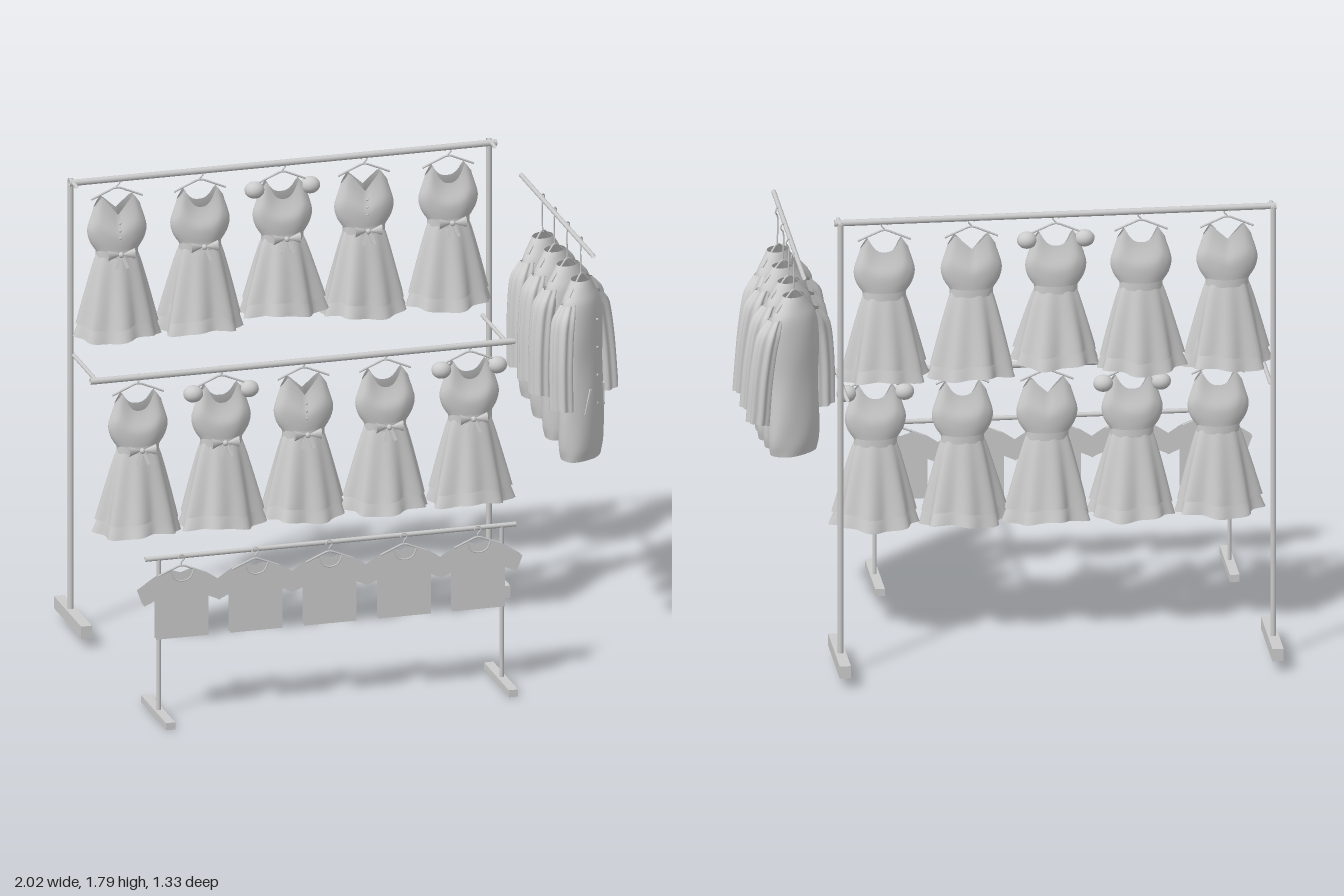
import * as THREE from 'three';

const grey = new THREE.MeshStandardMaterial({ color: 0xcccccc, side: THREE.DoubleSide });
grey.name = 'light grey';
const V = (x, y, z) => new THREE.Vector3(x, y, z);

function add(parent, name, geometry, x = 0, y = 0, z = 0) {
  const mesh = new THREE.Mesh(geometry, grey);
  mesh.name = name;
  mesh.position.set(x, y, z);
  parent.add(mesh);
  return mesh;
}

function group(parent, name, x, y, z) {
  const g = new THREE.Group();
  g.name = name;
  g.position.set(x, y, z);
  parent.add(g);
  return g;
}

// Round bar between two points
function bar(parent, name, a, b, r) {
  return add(parent, name, new THREE.TubeGeometry(new THREE.LineCurve3(a, b), 1, r, 10));
}

// Closed ring surface: f(angle, v) gives a point, v runs from top to bottom
function rings(f, nu, nv) {
  const pos = [], index = [];
  for (let j = 0; j <= nv; j++)
    for (let i = 0; i < nu; i++) pos.push(...f((i / nu) * Math.PI * 2, j / nv).toArray());
  for (let j = 0; j < nv; j++)
    for (let i = 0; i < nu; i++) {
      const a = j * nu + i, b = j * nu + (i + 1) % nu;
      index.push(a, a + nu, b, b, a + nu, b + nu);
    }
  const g = new THREE.BufferGeometry();
  g.setAttribute('position', new THREE.Float32BufferAttribute(pos, 3));
  g.setIndex(index);
  g.computeVertexNormals();
  return g;
}

// Hook over the rail and two sloping arms
function hanger(parent, drop, width, slope) {
  const g = group(parent, 'hanger', 0, 0, 0);
  const hook = new THREE.CatmullRomCurve3([
    V(-0.012, -0.003, 0), V(-0.006, 0.011, 0), V(0.006, 0.011, 0), V(0.011, -0.004, 0), V(0, -0.018, 0), V(0, -drop, 0)]);
  add(g, 'hook', new THREE.TubeGeometry(hook, 20, 0.003, 6));
  const arms = new THREE.CatmullRomCurve3([
    V(-width, -drop - slope, 0), V(-width * 0.4, -drop - slope * 0.35, 0), V(0, -drop, 0),
    V(width * 0.4, -drop - slope * 0.35, 0), V(width, -drop - slope, 0)]);
  add(g, 'arms', new THREE.TubeGeometry(arms, 16, 0.004, 6));
}

function dress(parent, x, y, z, seed, { puff = false, vNeck = false, buttons = false, hem = -0.6 }) {
  const g = group(parent, 'dress', x, y, z);
  hanger(g, 0.022, 0.1, 0.04);
  // Bodice with a dipped neckline and sloping shoulders
  const side = new THREE.SplineCurve([[0.09, 0.018], [0.104, 0.03], [0.115, 0.045], [0.104, 0.046], [0.076, 0.042]]
    .map(p => new THREE.Vector2(...p)));
  add(g, 'bodice', rings((t, v) => {
    const s = Math.abs(Math.sin(t)), dip = Math.cos(t) > 0 ? 0.075 : 0.055;
    const top = s < 0.68 ? -0.05 - dip * (1 - (s / 0.68) ** (vNeck ? 1 : 2.6)) : -0.05 - 0.04 * (s - 0.68) / 0.32;
    const p = side.getPoint(v);
    return V(p.x * Math.sin(t), top + (-0.275 - top) * v, p.y * Math.cos(t));
  }, 48, 12));
  // Gathered skirt over a longer flounce
  const skirt = (name, y0, y1, r0, r1, amp) => add(g, name, rings((t, v) => {
    const wave = 1 + amp * (0.3 + 0.7 * v) * (Math.cos(8 * t + seed) + 0.5 * Math.cos(5 * t + seed * 2.3));
    const r = (r0 + (r1 - r0) * v ** 0.85) * wave;
    return V(r * Math.sin(t), y0 + (y1 - y0) * v + 0.008 * v * Math.sin(3 * t + seed), r * (0.6 + 0.06 * v) * Math.cos(t));
  }, 72, 8));
  skirt('skirt', -0.27, hem + 0.05, 0.076, 0.148, 0.085);
  skirt('flounce', hem + 0.11, hem, 0.125, 0.158, 0.085);
  // Sash with a bow in front
  add(g, 'sash', rings((t, v) => V(0.081 * Math.sin(t), -0.258 - 0.03 * v, 0.05 * Math.cos(t)), 32, 1));
  const bow = group(g, 'bow', 0, -0.27, 0.06);
  add(bow, 'knot', new THREE.SphereGeometry(0.011, 10, 8));
  for (const s of [-1, 1]) {
    const loop = add(bow, 'bowLoop', new THREE.ConeGeometry(0.021, 0.05, 10), s * 0.027, 0.002, 0);
    loop.rotation.z = s * Math.PI / 2;
    loop.scale.z = 0.6;
    const tail = add(bow, 'bowTail', new THREE.BoxGeometry(0.014, 0.05, 0.004), s * 0.013, -0.028, 0.004);
    tail.rotation.set(-0.25, 0, s * 0.35);
    if (puff) {
      const sleeve = add(g, 'puffSleeve', new THREE.SphereGeometry(0.038, 16, 12), s * 0.108, -0.085, 0);
      sleeve.scale.set(1, 0.85, 0.9);
    }
  }
  if (buttons) for (let i = 0; i < 3; i++)
    add(g, 'button', new THREE.SphereGeometry(0.005, 8, 6), 0, -0.15 - i * 0.03, 0.045);
}

function coat(parent, z, angle, hem) {
  const g = group(parent, 'coat', 0.825, 1.6, z);
  g.rotation.y = angle;
  hanger(g, 0.13, 0.09, 0.07);
  // Body from collar to hem
  const body = new THREE.CatmullRomCurve3([
    V(0.045, -0.15, 0.035), V(0.07, -0.185, 0.046), V(0.103, -0.235, 0.06), V(0.115, -0.34, 0.068),
    V(0.11, -0.48, 0.068), V(0.116, -0.64, 0.072), V(0.114, hem + 0.05, 0.07), V(0.104, hem, 0.064)]);
  add(g, 'coatBody', rings((t, v) => {
    const p = body.getPoint(v), w = 1 + 0.018 * v * Math.sin(5 * t + 14 * v);
    return V(p.x * w * Math.sin(t), p.y, p.z * w * Math.cos(t));
  }, 40, 28));
  for (const s of [-1, 1]) {
    // Sleeve with lengthwise folds
    const path = new THREE.CatmullRomCurve3([
      V(0.095, -0.225, 0), V(0.13, -0.28, 0), V(0.158, -0.42, 0.006), V(0.172, -0.62, 0.015)]);
    add(g, 'sleeve', rings((t, v) => {
      const p = path.getPoint(v), r = (0.026 + 0.014 * Math.min(1, v * 3)) * (1 + 0.12 * Math.cos(7 * t));
      return V(s * (p.x + r * Math.sin(t)), p.y + 0.01 * Math.sin(t) * v, p.z + r * 1.05 * Math.cos(t));
    }, 42, 14));
    // Slanted pocket
    const pocket = add(g, 'pocket', new THREE.BoxGeometry(0.008, 0.1, 0.006), s * 0.06, -0.61, 0.064);
    pocket.rotation.set(0, s * 0.45, s * 0.25);
  }
  for (let i = 0; i < 4; i++)
    add(g, 'button', new THREE.SphereGeometry(0.005, 8, 6), 0, -0.3 - i * 0.11, 0.07);
}

function shirt(parent, x) {
  const g = group(parent, 'shirt', x, 0.625, 0.53);
  hanger(g, 0.03, 0.09, 0.035);
  const half = [[0.045, -0.045], [0.1, -0.068], [0.17, -0.115], [0.148, -0.175], [0.102, -0.155], [0.102, -0.31]];
  // Flat front and back panels, the front cut lower at the neck
  for (const [name, z, dip] of [['shirtFront', 0.013, -0.085], ['shirtBack', -0.008, -0.06]]) {
    const left = half.map(([px, py]) => [-px, py]).reverse();
    const outline = [[0, dip], [0.03, dip + 0.01], ...half, ...left, [-0.03, dip + 0.01]];
    add(g, name, new THREE.ShapeGeometry(new THREE.Shape(outline.map(p => new THREE.Vector2(...p)))), 0, 0, z);
  }
  // Neck band
  const band = new THREE.CatmullRomCurve3([
    V(-0.045, -0.045, 0.014), V(-0.03, -0.076, 0.015), V(0, -0.086, 0.015), V(0.03, -0.076, 0.015), V(0.045, -0.045, 0.014)]);
  add(g, 'neckBand', new THREE.TubeGeometry(band, 14, 0.003, 6));
}

export function createModel() {
  const model = new THREE.Group();
  model.name = 'clothesRacks';

  // Tall two-level rack
  const tall = group(model, 'tallRack', 0, 0, 0);
  for (const [x, armX] of [[-0.955, -0.945], [0.67, 0.645]]) {
    add(tall, 'foot', new THREE.BoxGeometry(0.042, 0.048, 0.365), x, 0.066, -0.482);
    bar(tall, 'post', V(x, 0.085, -0.512), V(x, 1.785, -0.512), 0.011);
    bar(tall, 'topArm', V(x, 1.78, -0.435), V(x, 1.78, -0.515), 0.008);
    bar(tall, 'lowerArm', V(armX, 1.09, -0.515), V(armX, 1.09, -0.2), 0.008);
  }
  bar(tall, 'topRail', V(-0.97, 1.78, -0.48), V(0.69, 1.78, -0.48), 0.012);
  bar(tall, 'lowerRail', V(-0.97, 1.09, -0.2), V(0.69, 1.09, -0.2), 0.012);

  // Two rows of dresses
  const upper = [{ vNeck: true, buttons: true }, {}, { puff: true, hem: -0.565 }, { vNeck: true, buttons: true }, {}];
  const lower = [{}, { puff: true }, { vNeck: true, buttons: true }, {}, { puff: true }];
  [-0.785, -0.462, -0.142, 0.175, 0.502].forEach((x, i) => {
    dress(tall, x, 1.768, -0.48, i * 1.3, upper[i]);
    dress(tall, x, 1.088, -0.2, i * 1.7 + 0.8, lower[i]);
  });

  // Side rail with coats turned at an angle
  const sideRail = group(model, 'coatRail', 0, 0, 0);
  bar(sideRail, 'rail', V(0.815, 1.605, 0.38), V(0.815, 1.605, -0.58), 0.009);
  [[0.18, 0.78, -0.845], [0, 0.56, -0.82], [-0.17, 0.62, -0.79], [-0.33, 0.66, -0.765]]
    .forEach(c => coat(sideRail, ...c));

  // Low rack with flat shirts
  const low = group(model, 'lowRack', 0, 0, 0);
  for (const x of [-0.912, 0.42]) {
    add(low, 'foot', new THREE.BoxGeometry(0.036, 0.028, 0.33), x, 0.014, 0.505);
    bar(low, 'post', V(x, 0.025, 0.512), V(x, 0.625, 0.512), 0.008);
  }
  bar(low, 'rail', V(-0.965, 0.625, 0.512), V(0.475, 0.625, 0.512), 0.009);
  [-0.83, -0.542, -0.255, 0.035, 0.322].forEach(x => shirt(low, x));

  return model;
}
